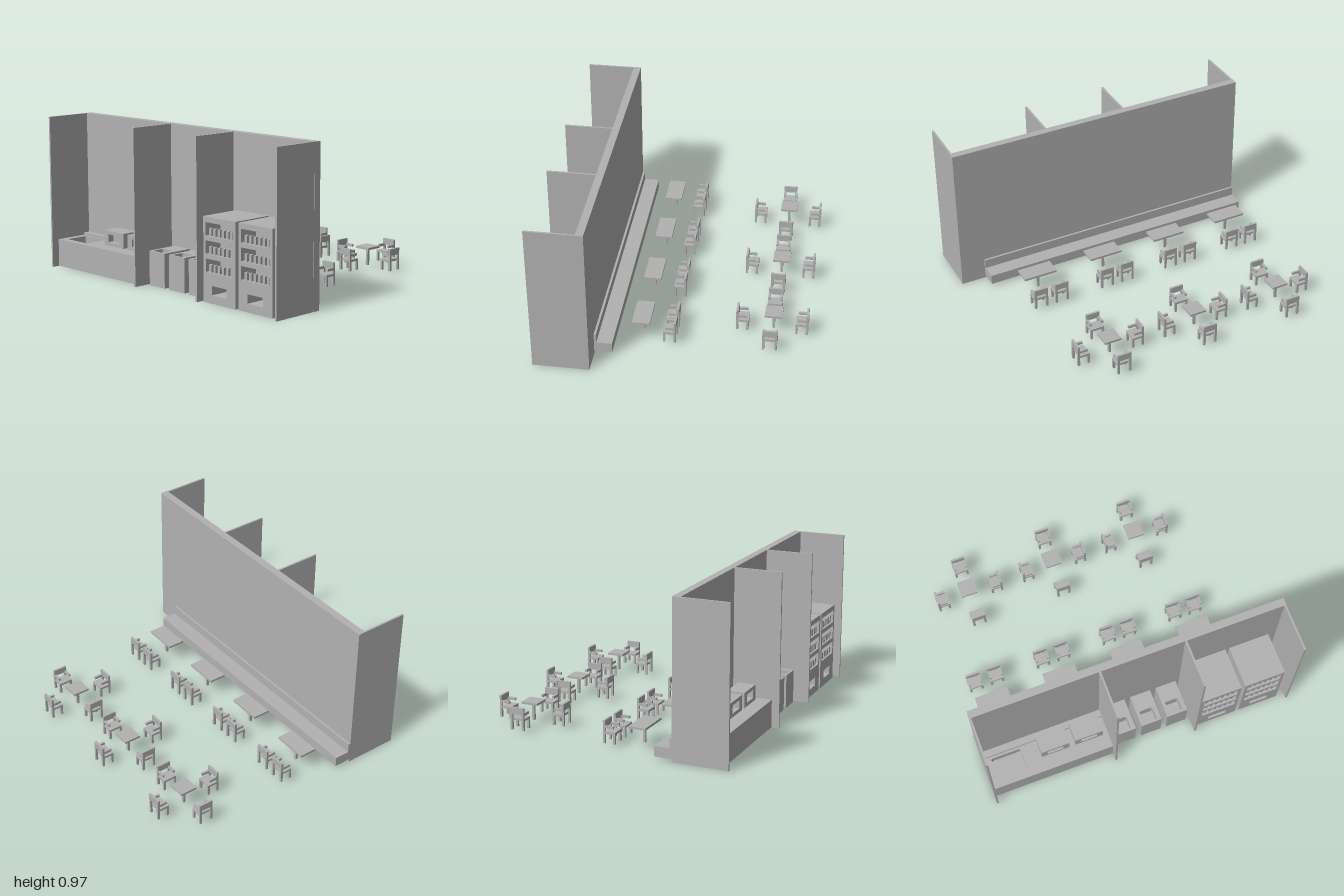
import * as THREE from 'three';

const grey = new THREE.MeshStandardMaterial({ color: 0xb2b2b2 });
grey.name = 'plain grey';

function add(parent, name, geometry) {
  const mesh = new THREE.Mesh(geometry, grey);
  mesh.name = name;
  parent.add(mesh);
  return mesh;
}

// Box given by its limits on each axis
function box(parent, name, x0, x1, y0, y1, z0, z1) {
  const g = new THREE.BoxGeometry(x1 - x0, y1 - y0, z1 - z0);
  g.translate((x0 + x1) / 2, (y0 + y1) / 2, (z0 + z1) / 2);
  return add(parent, name, g);
}

function group(parent, name) {
  const g = new THREE.Group();
  g.name = name;
  parent.add(g);
  return g;
}

// Outline with rounded corners
function roundRect(Type, a0, a1, b0, b1, r) {
  const s = new Type();
  s.absarc(a1 - r, b1 - r, r, 0, Math.PI / 2);
  s.absarc(a0 + r, b1 - r, r, Math.PI / 2, Math.PI);
  s.absarc(a0 + r, b0 + r, r, Math.PI, Math.PI * 1.5);
  s.absarc(a1 - r, b0 + r, r, Math.PI * 1.5, Math.PI * 2);
  s.closePath();
  return s;
}

// Rectangular slab with holes; each rectangle is [a0, a1, b0, b1]
function slab(rect, holes, depth, r) {
  const [a0, a1, b0, b1] = rect;
  const s = new THREE.Shape();
  s.moveTo(a0, b0).lineTo(a1, b0).lineTo(a1, b1).lineTo(a0, b1).closePath();
  for (const h of holes) s.holes.push(roundRect(THREE.Path, ...h, r));
  return new THREE.ExtrudeGeometry(s, { depth, bevelEnabled: false, curveSegments: 4 });
}

// Block with a basin sunk into its top
function basinBlock(parent, name, x0, x1, top, z0, z1, basin, depth) {
  const g = group(parent, name);
  box(g, name + 'Base', x0, x1, 0, top - depth, z0, z1);
  const [bx0, bx1, bz0, bz1] = basin;
  const geo = slab([x0, x1, -z1, -z0], [[bx0, bx1, -bz1, -bz0]], depth, 0.012);
  geo.rotateX(-Math.PI / 2).translate(0, top - depth, 0);
  add(g, name + 'Rim', geo);
}

// Cabinet with openings facing -x; openings are [z0, z1, y0, y1]
function openCabinet(parent, name, x0, x1, y0, y1, z0, z1, openings, depth) {
  const g = group(parent, name);
  box(g, name + 'Back', x0 + depth, x1, y0, y1, z0, z1);
  const geo = slab([z0, z1, y0, y1], openings, depth, 0.002);
  geo.rotateY(-Math.PI / 2).translate(x0 + depth, 0, 0);
  add(g, name + 'Front', geo);
  return g;
}

// Armchair facing +z, turned by an angle about y
function chair(parent, x, z, angle) {
  const g = group(parent, 'chair');
  box(g, 'seat', -0.045, 0.045, 0.078, 0.092, -0.03, 0.038);
  box(g, 'backPanel', -0.045, 0.045, 0.118, 0.16, -0.04, -0.026);
  for (const s of [-1, 1]) {
    const a = s > 0 ? 0.031 : -0.045;
    box(g, 'backPost', a, a + 0.014, 0.02, 0.125, -0.04, -0.026);
    box(g, 'frontLeg', a, a + 0.014, 0.02, 0.08, 0.024, 0.038);
    box(g, 'armrest', a, a + 0.014, 0.112, 0.128, -0.03, 0.026);
  }
  g.position.set(x, 0, z);
  g.rotation.y = angle;
}

function table(parent, x, z, w, d) {
  const g = group(parent, 'table');
  box(g, 'tableTop', x - w / 2, x + w / 2, 0.13, 0.144, z - d / 2, z + d / 2);
  box(g, 'tablePost', x - 0.008, x + 0.008, 0.02, 0.13, z - 0.008, z + 0.008);
}

export function createModel() {
  const model = new THREE.Group();
  model.name = 'diningRoom';

  // Long wall with four partitions behind it
  const walls = group(model, 'walls');
  box(walls, 'longWall', -0.51, -0.462, 0, 0.97, -1, 1);
  for (const z of [-0.994, -0.189, 0.355, 0.992]) {
    box(walls, 'partition', -0.81, -0.51, 0, 0.97, z - 0.006, z + 0.006);
  }

  // Wall bench
  const bench = group(model, 'bench');
  box(bench, 'benchSeat', -0.45, -0.352, 0.02, 0.083, -1, 0.84);
  box(bench, 'benchBack', -0.462, -0.448, 0.02, 0.143, -1, 0.84);

  // Counter with a sink and two small ovens
  const kitchen = group(model, 'kitchen');
  basinBlock(kitchen, 'counter', -0.762, -0.51, 0.175, -0.988, -0.195,
    [-0.72, -0.57, -0.945, -0.75], 0.06);
  box(kitchen, 'upstand', -0.555, -0.51, 0.175, 0.19, -0.988, -0.195);
  for (const [z0, z1] of [[-0.64, -0.455], [-0.415, -0.23]]) {
    openCabinet(kitchen, 'oven', -0.67, -0.558, 0.175, 0.27, z0, z1,
      [[z0 + 0.04, z1 - 0.04, 0.197, 0.248]], 0.04);
  }

  // Three wash units
  for (const z of [-0.092, 0.083, 0.257]) {
    basinBlock(kitchen, 'washUnit', -0.715, -0.51, 0.215, z - 0.068, z + 0.068,
      [-0.703, -0.62, z - 0.046, z + 0.04], 0.08);
  }

  // Two display cabinets with goods on three shelves
  for (const z of [0.513, 0.802]) {
    const z0 = z - 0.132, z1 = z + 0.132;
    const rows = [0.18, 0.287, 0.394];
    const openings = rows.map((y) => [z0 + 0.02, z1 - 0.02, y, y + 0.08]);
    openings.push([z - 0.06, z + 0.06, 0.05, 0.105]);
    const cab = openCabinet(kitchen, 'displayCabinet', -0.777, -0.51, 0, 0.507, z0, z1, openings, 0.12);
    for (const y of rows) {
      for (let i = 0; i < 6; i++) {
        const c = z - 0.0875 + i * 0.035;
        box(cab, 'shelfItem', -0.765, -0.745, y, y + 0.045, c - 0.01, c + 0.01);
      }
    }
  }

  // Tables along the bench, each with two chairs
  const dining = group(model, 'dining');
  for (const z of [-0.8, -0.34, 0.12, 0.583]) {
    table(dining, -0.2, z, 0.11, 0.22);
    for (const s of [-1, 1]) chair(dining, -0.025, z + s * 0.071 - 0.002, -Math.PI / 2);
  }

  // Square tables with a chair on every side
  for (const z of [-0.71, -0.12, 0.465]) {
    table(dining, 0.592, z, 0.108, 0.108);
    chair(dining, 0.403, z + 0.005, Math.PI / 2);
    chair(dining, 0.767, z + 0.005, -Math.PI / 2);
    chair(dining, 0.585, z - 0.177, 0);
    chair(dining, 0.585, z + 0.188, Math.PI);
  }
  return model;
}
